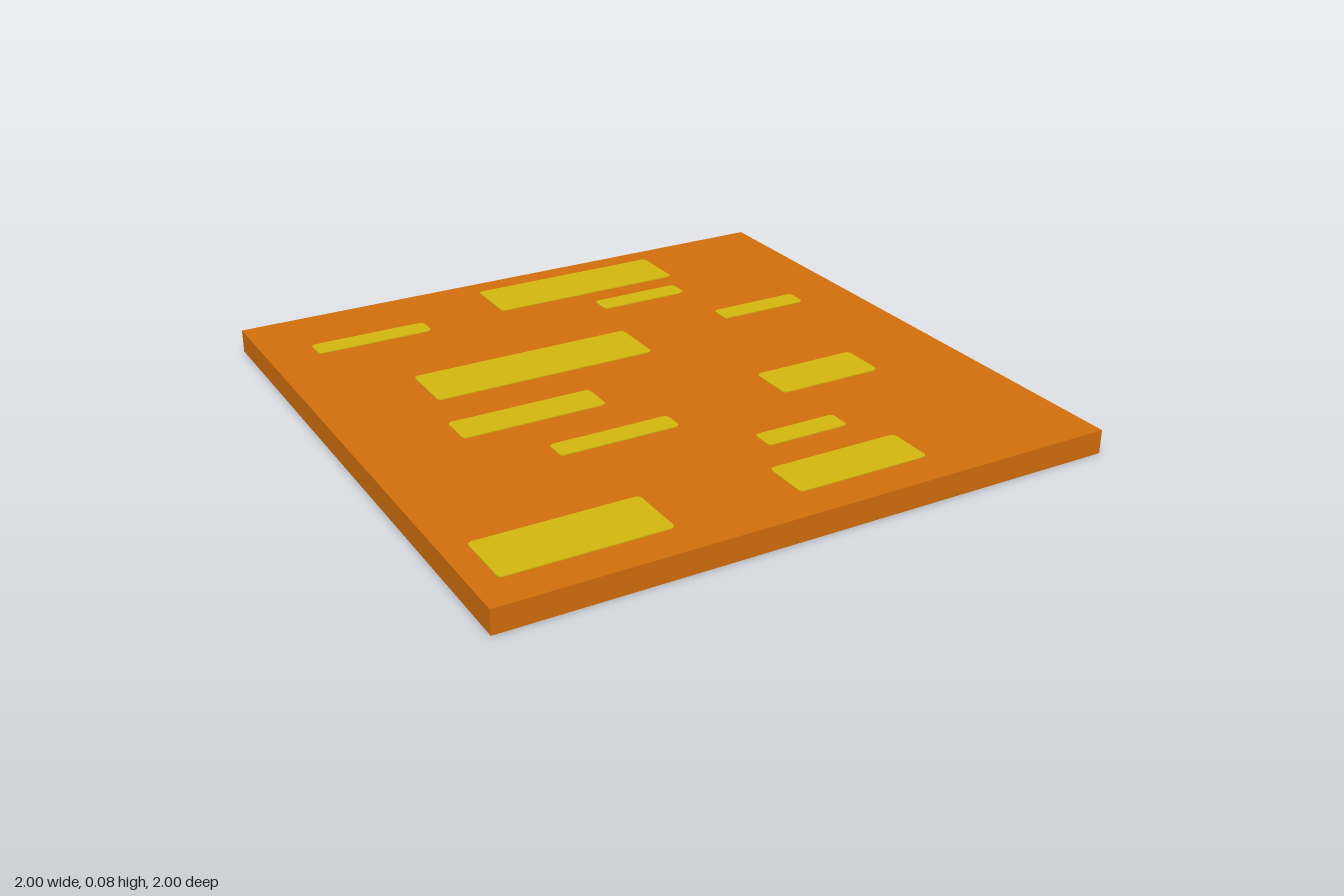
import * as THREE from 'three';

const SLAB_HEIGHT = 0.077;
const PATCH_HEIGHT = 0.003;

// Patch rectangles: [xMin, xMax, zMin, zMax]
const PATCHES = [
  [-0.16, 0.52, -0.92, -0.72],
  [-0.84, -0.44, -0.76, -0.68],
  [0.16, 0.48, -0.64, -0.56],
  [-0.64, 0.12, -0.36, -0.16],
  [0.48, 0.8, -0.36, -0.28],
  [-0.68, -0.2, 0, 0.12],
  [0.32, 0.68, 0.16, 0.32],
  [-0.48, -0.08, 0.28, 0.36],
  [0.08, 0.36, 0.52, 0.6],
  [-0.92, -0.4, 0.68, 0.88],
  [0, 0.44, 0.72, 0.88],
];

// Rectangle with small rounded corners, centred on the origin
function roundedRect(w, h, r) {
  const x = w / 2 - r, y = h / 2 - r;
  const s = new THREE.Shape();
  s.absarc(x, y, r, 0, Math.PI / 2);
  s.absarc(-x, y, r, Math.PI / 2, Math.PI);
  s.absarc(-x, -y, r, Math.PI, Math.PI * 1.5);
  s.absarc(x, -y, r, Math.PI * 1.5, Math.PI * 2);
  return s;
}

export function createModel() {
  const model = new THREE.Group();
  model.name = 'groundTile';

  const orange = new THREE.MeshStandardMaterial({ color: 0xd4700d });
  orange.name = 'orange';
  const yellow = new THREE.MeshStandardMaterial({ color: 0xd4b80f });
  yellow.name = 'mustardYellow';

  // Square slab
  const slab = new THREE.Mesh(new THREE.BoxGeometry(2, SLAB_HEIGHT, 2), orange);
  slab.name = 'slab';
  slab.position.y = SLAB_HEIGHT / 2;
  model.add(slab);

  // Thin patches lying on the slab
  const patches = new THREE.Group();
  patches.name = 'patches';
  PATCHES.forEach(([x0, x1, z0, z1], i) => {
    const geometry = new THREE.ExtrudeGeometry(roundedRect(x1 - x0, z1 - z0, 0.016), {
      depth: PATCH_HEIGHT, bevelEnabled: false, curveSegments: 4,
    });
    geometry.rotateX(-Math.PI / 2);
    const patch = new THREE.Mesh(geometry, yellow);
    patch.name = `patch${i + 1}`;
    patch.position.set((x0 + x1) / 2, SLAB_HEIGHT, (z0 + z1) / 2);
    patches.add(patch);
  });
  model.add(patches);

  return model;
}
